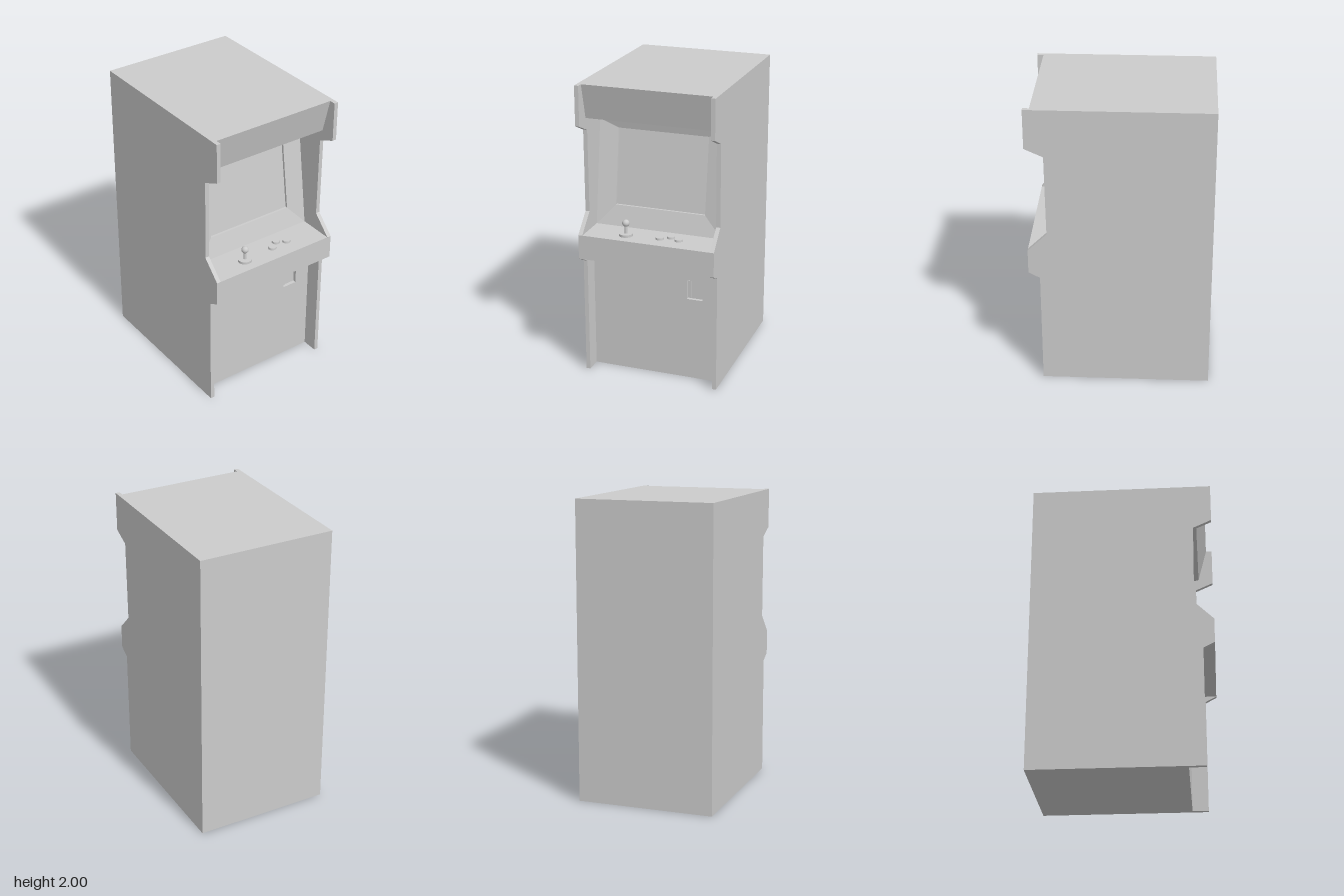
import * as THREE from 'three';

const HALF = 0.435;   // inner half width
const SIDE = 0.028;   // side panel thickness
const DECK = 1.0;     // control deck height

const material = new THREE.MeshStandardMaterial({ color: 0xcccccc });
const flat = new THREE.MeshStandardMaterial({ color: 0xcccccc, flatShading: true });

function add(parent, name, geometry, x = 0, y = 0, z = 0, mat = material) {
  const mesh = new THREE.Mesh(geometry, mat);
  mesh.name = name;
  mesh.position.set(x, y, z);
  parent.add(mesh);
  return mesh;
}

// Extrude a [z, y] profile across x, from x0 to x0 + width
function acrossX(profile, x0, width) {
  const shape = new THREE.Shape(profile.map(([z, y]) => new THREE.Vector2(z, y)));
  const g = new THREE.ExtrudeGeometry(shape, { depth: width, bevelEnabled: false });
  return g.rotateY(-Math.PI / 2).translate(x0 + width, 0, 0);
}

// Rectangle in the leaning monitor plane, pushed back by an offset
function monitorRing(halfW, y0, y1, offset) {
  const z = y => 0.36 - (y - DECK) * 0.135 - offset;
  return [[-halfW, y0, z(y0)], [halfW, y0, z(y0)], [halfW, y1, z(y1)], [-halfW, y1, z(y1)]];
}

// Join two four-cornered rings with quads facing the front
function ringWall(outer, inner) {
  const pos = [];
  for (let i = 0; i < 4; i++) {
    const j = (i + 1) % 4;
    pos.push(...outer[i], ...outer[j], ...inner[j], ...outer[i], ...inner[j], ...inner[i]);
  }
  return fromTriangles(pos);
}

function fromTriangles(pos) {
  const g = new THREE.BufferGeometry();
  g.setAttribute('position', new THREE.Float32BufferAttribute(pos, 3));
  g.computeVertexNormals();
  return g;
}

export function createModel() {
  const cabinet = new THREE.Group();
  cabinet.name = 'arcadeCabinet';

  // Side panels
  const sideProfile = [
    [-0.6, 0], [0.527, 0], [0.527, 0.795], [0.602, 0.835], [0.602, 1.0],
    [0.475, 1.125], [0.48, 1.68], [0.602, 1.735], [0.602, 2], [-0.6, 2],
  ];
  add(cabinet, 'leftSidePanel', acrossX(sideProfile, HALF, SIDE));
  add(cabinet, 'rightSidePanel', acrossX(sideProfile, -HALF - SIDE, SIDE));

  // Body with control deck, monitor cavity and overhanging marquee
  add(cabinet, 'body', acrossX([
    [-0.6, 0], [0.395, 0], [0.395, 0.835], [0.602, 0.835], [0.602, DECK],
    [0.31, DECK], [0.215, 1.7], [0.265, 1.7], [0.5, 1.765], [0.56, 2], [-0.6, 2],
  ], -HALF, HALF * 2));

  // Lower front panel with an opening for the coin door
  const panel = new THREE.Shape([[-HALF, 0], [HALF, 0], [HALF, 0.835], [-HALF, 0.835]]
    .map(p => new THREE.Vector2(...p)));
  panel.holes.push(new THREE.Path([[0.222, 0.572], [0.222, 0.705], [0.328, 0.705], [0.328, 0.572]]
    .map(p => new THREE.Vector2(...p))));
  add(cabinet, 'lowerFrontPanel',
    new THREE.ExtrudeGeometry(panel, { depth: 0.023, bevelEnabled: false }), 0, 0, 0.395);
  add(cabinet, 'coinPlate', new THREE.BoxGeometry(0.022, 0.12, 0.012), 0.237, 0.638, 0.4);

  // Monitor: sloping bezel, recess lip and screen
  const monitor = new THREE.Group();
  monitor.name = 'monitor';
  cabinet.add(monitor);
  const outer = monitorRing(HALF, DECK, 1.7, 0);
  const rim = monitorRing(0.31, 1.135, 1.645, 0.02);
  const back = monitorRing(0.31, 1.135, 1.645, 0.036);
  add(monitor, 'bezel', ringWall(outer, rim), 0, 0, 0, flat);
  add(monitor, 'screenLip', ringWall(rim, back), 0, 0, 0, flat);
  const [a, b, c, d] = back;
  add(monitor, 'screen', fromTriangles([...a, ...b, ...c, ...a, ...c, ...d]), 0, 0, 0, flat);

  // Joystick
  const joystick = new THREE.Group();
  joystick.name = 'joystick';
  joystick.position.set(-0.17, DECK, 0.5);
  cabinet.add(joystick);
  add(joystick, 'joystickBase', new THREE.CylinderGeometry(0.046, 0.046, 0.016, 32), 0, 0.008);
  add(joystick, 'joystickShaft', new THREE.CylinderGeometry(0.01, 0.01, 0.08, 20), 0, 0.045);
  add(joystick, 'joystickBall', new THREE.SphereGeometry(0.024, 24, 16), 0, 0.085);

  // Buttons
  for (const [x, z] of [[0.06, 0.49], [0.122, 0.448], [0.185, 0.48]]) {
    add(cabinet, 'button', new THREE.CylinderGeometry(0.026, 0.027, 0.014, 28), x, DECK + 0.007, z);
  }

  return cabinet;
}
